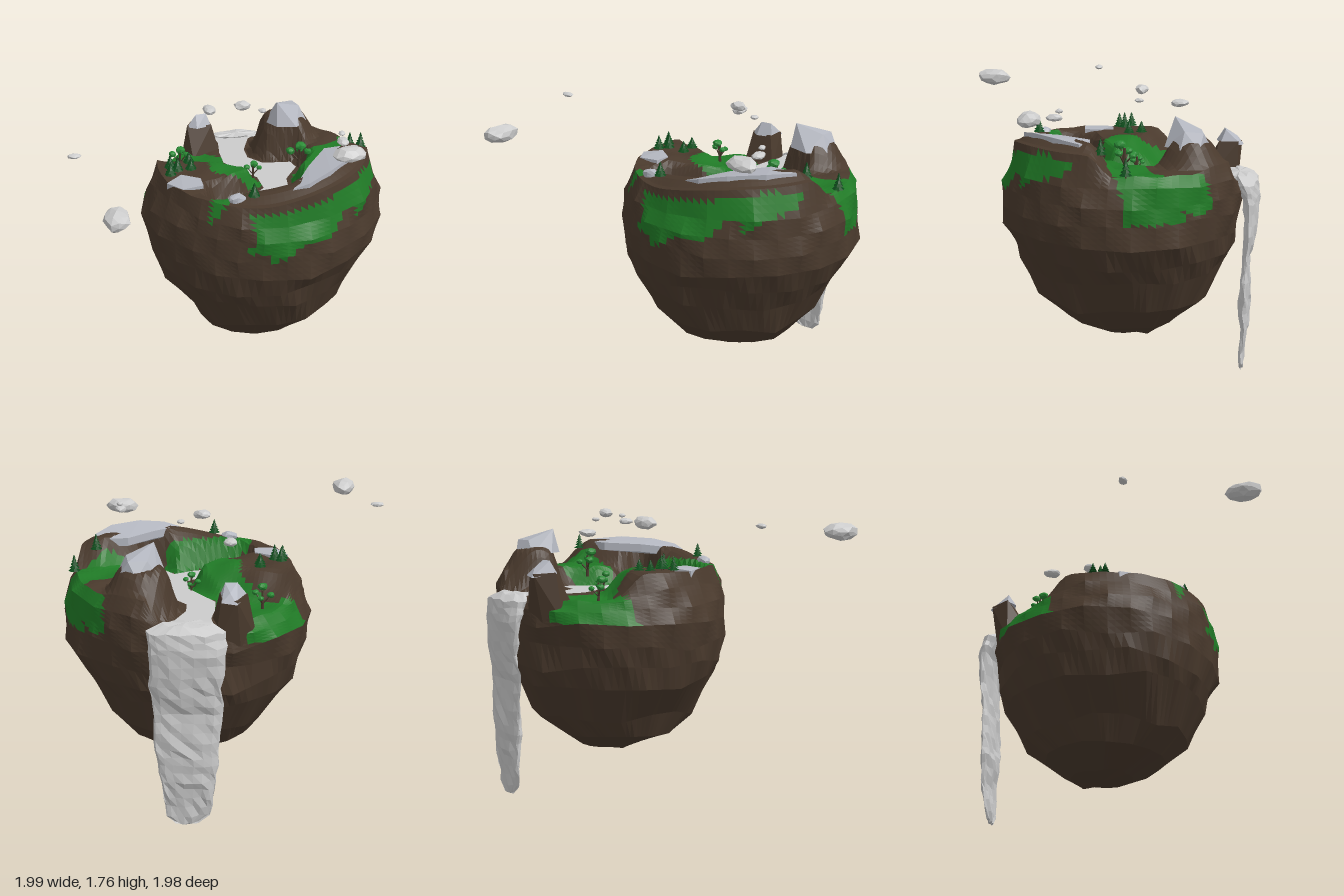
import * as THREE from 'three';
import { ConvexGeometry } from 'three/addons/geometries/ConvexGeometry.js';

const SOIL = 0x4a3a2d, GRASS = 0x207a26, STONE = 0xb4b7c0, GREY = 0xcccccc, PINE = 0x0c4a1a, LEAF = 0x2a8a35;
const { smoothstep, lerp } = THREE.MathUtils;
const mat = (color) => new THREE.MeshStandardMaterial({ color, flatShading: true });
const hash = (a, b, c = 0) => {
  const s = Math.sin(a * 127.1 + b * 311.7 + c * 74.7) * 43758.5453;
  return (s - Math.floor(s)) * 2 - 1;
};

// Outlines in x, z
const RIVER = [[.05, -.88], [.07, -.75], [.05, -.6], [.05, -.45], [.15, -.3], [.22, -.2], [.23, -.05], [.1, .07], [-.08, .15],
  [-.1, .23], [0, .23], [.2, .17], [.32, .1], [.4, .2], [.48, .2], [.43, .1], [.38, .02], [.4, -.15], [.5, -.3],
  [.48, -.38], [.3, -.4], [.22, -.5], [.22, -.62], [.28, -.78], [.38, -.88]];
const MEADOWS = [
  [[-.55, -.35], [-.38, -.68], [-.15, -.8], [-.1, -.73], [0, -.6], [.07, -.55], [.04, -.4], [.17, -.3], [.24, -.12], [.15, -.02],
    [0, 0], [-.1, -.05], [-.1, -.25], [-.3, -.45], [-.45, -.38]],
  [[.4, -.05], [.5, 0], [.68, -.05], [.85, -.15], [1.05, -.3], [1, -.5], [.85, -.85], [.6, -.9], [.8, -.65], [.86, -.5],
    [.78, -.4], [.62, -.33], [.46, -.22]],
  [[-.2, .4], [-.15, .3], [0, .25], [.2, .2], [.3, .13], [.4, .2], [.35, .28], [.1, .32], [0, .36], [-.12, .42]],
];
// Grass hanging over the sides, outlined in x, y and in z, y
const FRONT_GRASS = [[.03, 1.36], [.2, 1.37], [.5, 1.4], [.68, 1.45], [.88, 1.47], [.9, 1.38], [.72, 1.3], [.62, 1.3], [.52, 1.17],
  [.35, 1.17], [.15, 1.06], [.15, 1.12], [0, 1.13], [.06, 1.2]];
const SIDE_GRASS = [
  [[.6, 1.15], [.6, 1.3], [.4, 1.46], [.05, 1.44], [.1, 1.37], [.3, 1.3], [.45, 1.2]],
  [[-.4, 1.38], [-.4, 1.25], [-.65, 1.12], [-.84, 1.2], [-.88, 1.28], [-.7, 1.38]],
];

function inside(poly, u, v) {
  let hit = false;
  poly.forEach(([a, b], i) => {
    const [c, d] = poly[(i + 1) % poly.length];
    if ((b > v) !== (d > v) && u < a + ((v - b) / (d - b)) * (c - a)) hit = !hit;
  });
  return hit;
}

function distanceTo(poly, u, v) {
  if (inside(poly, u, v)) return 0;
  return Math.min(...poly.map(([a, b], i) => {
    const [c, d] = poly[(i + 1) % poly.length];
    const dx = c - a, dy = d - b;
    const t = THREE.MathUtils.clamp(((u - a) * dx + (v - b) * dy) / (dx * dx + dy * dy), 0, 1);
    return Math.hypot(u - a - t * dx, v - b - t * dy);
  }));
}

// Ground height: low back meadow, front ridge, peak and carved river bed
function height(x, z) {
  const low = smoothstep(-z - .3 + .3 * (x + .25), -.08, .15) * (1 - smoothstep(x, .1, .25));
  const bank = lerp(1.395, 1.365, smoothstep(x, -.1, .3));
  let h = lerp(bank, 1.23, low) + .01 * Math.sin(x * 23) * Math.sin(z * 19 + 1);
  const edge = Math.hypot((x - .24) / .66, (z + .165) / .675);
  const crest = Math.max(-.01, Math.min(.38, .66 - .9 * x));
  const ridge = 1.41 + .12 * smoothstep(x, -.25, .75) - .045 * smoothstep(edge, .84, 1) * smoothstep(x, -.3, .2);
  h = lerp(h, ridge, smoothstep(z - crest, -.18, 0));
  h += .15 * (1 - smoothstep(Math.hypot(x - .48, z + .57), .1, .23));
  return lerp(1.235, h, smoothstep(distanceTo(RIVER, x, z), .02, .11));
}

function meshFrom(name, triangles, color) {
  const g = new THREE.BufferGeometry();
  g.setAttribute('position', new THREE.Float32BufferAttribute(triangles.flatMap((p) => [p.x, p.y, p.z]), 3));
  g.computeVertexNormals();
  const m = new THREE.Mesh(g, mat(color));
  m.name = name;
  return m;
}

// Triangles between successive rings of points
function stitch(rows) {
  const out = [], n = rows[0].length;
  for (let k = 0; k + 1 < rows.length; k++) for (let i = 0; i < n; i++) {
    const j = (i + 1) % n, a = rows[k][i], b = rows[k][j], c = rows[k + 1][i], d = rows[k + 1][j];
    out.push([a, b, c], [b, d, c]);
  }
  return out;
}

function island() {
  const N = 96, RINGS = 24, SPAN = 6, rows = [];
  const angle = (i) => (i / N) * Math.PI * 2;
  for (let k = 0; k <= RINGS; k++) rows.push(Array.from({ length: N }, (_, i) => {
    const r = k / RINGS, x = .24 + .66 * r * Math.cos(angle(i)), z = -.165 + .675 * r * Math.sin(angle(i));
    return new THREE.Vector3(x, height(x, z), z);
  }));
  const rim = rows[RINGS];
  // y, x radius, z radius, x centre, z centre
  const sides = [[1.3, .715, .715, .25, -.155], [1.2, .745, .735, .245, -.15], [1.09, .77, .74, .235, -.15],
    [.95, .75, .725, .24, -.145], [.82, .695, .685, .215, -.15], [.7, .63, .64, .2, -.155], [.48, .5, .525, .23, -.145],
    [.35, .39, .385, .2, -.15], [.25, .18, .2, .22, -.18], [.225, 0, 0, .22, -.18]];
  let last = rim;
  sides.forEach(([y, rx, rz, cx, cz], k) => {
    const rough = k > 1 && k < 7 ? .035 : .015;
    const corner = (i) => {
      const s = 1 + .025 * hash(i, k, 3), t = angle(i);
      return new THREE.Vector3(cx + rx * s * Math.cos(t), Math.min(y + (rx ? rough * hash(i, k, 9) : 0), rim[i].y - .03 * (k + 1)), cz + rz * s * Math.sin(t));
    };
    // Broad facets: staggered corners joined by straight runs
    const shift = (k % 2) * (SPAN / 2);
    const ring = Array.from({ length: N }, (_, i) => {
      const off = (i - shift + N) % SPAN, from = (i - off + N) % N;
      return corner(from).lerp(corner((from + SPAN) % N), off / SPAN);
    });
    const steps = k < 4 ? 4 : 1;
    for (let s = 1; s <= steps; s++) rows.push(ring.map((p, i) => last[i].clone().lerp(p, s / steps)));
    last = ring;
  });
  const parts = { soil: [], grass: [] };
  stitch(rows).forEach((t, index) => {
    const [x, y, z] = ['x', 'y', 'z'].map((c) => (t[0][c] + t[1][c] + t[2][c]) / 3);
    const onSide = index >= RINGS * N * 2;
    const green = (y > 1.1 && MEADOWS.some((p) => inside(p, x, z)))
      || (onSide && z > .2 && inside(FRONT_GRASS, x, y))
      || (onSide && x > .7 && SIDE_GRASS.some((p) => inside(p, z, y)));
    parts[green ? 'grass' : 'soil'].push(...t);
  });
  return [meshFrom('islandSoil', parts.soil, SOIL), meshFrom('islandGrass', parts.grass, GRASS)];
}

function river() {
  const shape = new THREE.Shape(RIVER.map(([x, z]) => new THREE.Vector2(x, -z)));
  const m = new THREE.Mesh(new THREE.ShapeGeometry(shape).rotateX(-Math.PI / 2).translate(0, 1.25, 0), mat(GREY));
  m.name = 'river';
  return m;
}

function waterfall() {
  // y, half width, z centre, half depth
  const keys = [[1.265, 0, -.86, 0], [1.26, .14, -.86, .06], [1.22, .225, -.9, .075], [1.1, .22, -.935, .052], [.9, .21, -.935, .033],
    [.72, .2, -.917, .02], [.55, .195, -.912, .03], [.4, .18, -.908, .038], [.24, .155, -.915, .02], [.06, .13, -.9, .013], [.01, .07, -.9, .008], [0, 0, -.9, 0]];
  const rows = [];
  keys.forEach((key, k) => {
    const next = keys[k + 1];
    const steps = next && k > 1 && k < 9 ? 3 : 1;
    for (let s = 0; s < steps; s++) {
      const [y, w, cz, d] = key.map((v, i) => lerp(v, next ? next[i] : v, s / steps));
      const sway = .01 * hash(rows.length, 5);
      rows.push(Array.from({ length: 18 }, (_, i) => {
        const t = (i / 18) * Math.PI * 2, n = w ? hash(i * 1.73, rows.length * 3.19) : 0;
        return new THREE.Vector3(.21 + sway + w * Math.cos(t) * (1 + .03 * n), Math.max(0, y + .008 * n), cz + d * Math.sin(t) + .008 * n);
      }));
    }
  });
  return meshFrom('waterfall', stitch(rows).flat(), GREY);
}

function hull(name, color, points) {
  const m = new THREE.Mesh(new ConvexGeometry(points.map((p) => new THREE.Vector3(...p))), mat(color));
  m.name = name;
  return m;
}

// Flat stone bedded in the ground, from its top corners
function slab(points, depth) {
  return hull('stoneSlab', STONE, points.flatMap(([x, y, z]) => [[x, y, z], [x, y - depth, z]]));
}

// Faceted lump with uneven corners
function lump(name, color, [x, y, z], [sx, sy, sz]) {
  const g = new THREE.IcosahedronGeometry(1, 1), p = g.attributes.position, v = new THREE.Vector3();
  for (let i = 0; i < p.count; i++) {
    v.fromBufferAttribute(p, i);
    const key = v.toArray().map((c) => Math.round(c * 100));
    v.multiplyScalar(1 + .13 * hash(key[0] + x * 10, key[1], key[2]));
    p.setXYZ(i, v.x * sx, v.y * sy, v.z * sz);
  }
  g.computeVertexNormals();
  const m = new THREE.Mesh(g, mat(color));
  m.position.set(x, y, z);
  m.name = name;
  return m;
}

function stem(r, h) {
  const m = new THREE.Mesh(new THREE.CylinderGeometry(r * .7, r, h, 6).translate(0, h / 2, 0), mat(SOIL));
  m.name = 'trunk';
  return m;
}

function pine(x, z, h) {
  const g = new THREE.Group();
  g.name = 'pineTree';
  g.add(stem(.005, h * .9));
  for (let i = 0; i < 5; i++) {
    const tier = new THREE.Mesh(new THREE.ConeGeometry(.037 - i * .007, h * .22, 8), mat(PINE));
    tier.position.y = h * (.25 + i * .16);
    tier.rotation.y = i;
    tier.name = 'needles';
    g.add(tier);
  }
  g.position.set(x, height(x, z) - .005, z);
  return g;
}

function leafyTree(x, z, s, lift) {
  const g = new THREE.Group();
  g.name = 'leafyTree';
  g.add(stem(.008, .1));
  [[0, .115, .02, .025], [.035, .085, .02, .018], [-.04, .08, -.01, .02], [.01, .07, -.035, .016]].forEach(([a, b, c, r]) => {
    const branch = stem(.004, Math.hypot(a, b - .03, c));
    branch.position.y = .03;
    branch.quaternion.setFromUnitVectors(new THREE.Vector3(0, 1, 0), new THREE.Vector3(a, b - .03, c).normalize());
    g.add(branch, lump('foliage', LEAF, [a, b, c], [r, r * .75, r]));
  });
  g.scale.setScalar(s);
  g.position.set(x, height(x, z) + lift, z);
  return g;
}

export function createModel() {
  const model = new THREE.Group();
  model.name = 'floatingIsland';
  model.add(...island(), river(), waterfall());

  // Stone slabs on the ridge and the left bank
  model.add(slab([[.3, 1.475, .43], [.45, 1.505, .2], [.6, 1.515, 0], [.75, 1.515, -.02], [.81, 1.53, .03], [.72, 1.545, .2],
    [.55, 1.535, .35], [.4, 1.505, .43]], .05));
  model.add(slab([[-.4, 1.395, .05], [-.3, 1.41, -.02], [-.19, 1.41, .05], [-.19, 1.41, .15], [-.32, 1.405, .17]], .04));

  // Stone peak, and the crag beside the waterfall
  model.add(hull('peakCap', STONE, [[.35, 1.48, -.52], [.4, 1.48, -.44], [.53, 1.47, -.43], [.62, 1.47, -.53], [.61, 1.47, -.64],
    [.5, 1.47, -.7], [.38, 1.47, -.64], [.41, 1.63, -.48], [.57, 1.57, -.55], [.55, 1.56, -.66], [.44, 1.56, -.64]]));
  model.add(hull('cragBase', SOIL, [[-.2, 1.1, -.72], [-.1, 1.1, -.81], [.05, 1.1, -.84], [.07, 1.2, -.68], [-.12, 1.2, -.62],
    [-.14, 1.4, -.74], [-.08, 1.39, -.86], [.01, 1.4, -.84], [.02, 1.4, -.72]]));
  model.add(hull('cragCap', STONE, [[-.14, 1.39, -.74], [-.08, 1.37, -.87], [.01, 1.38, -.86], [.02, 1.39, -.73], [-.08, 1.39, -.7],
    [-.08, 1.47, -.75], [-.01, 1.47, -.76], [-.04, 1.43, -.83]]));

  // Floating rocks: centre, half sizes
  [[[-.8, 1.63, .88], [.075, .055, .11]], [[.66, 1.635, .35], [.1, .047, .07]], [[-.96, 1.69, .17], [.04, .015, .027]],
    [[.13, 1.735, -.25], [.052, .027, .04]], [[.26, 1.69, -.25], [.025, .013, .025]], [[-.04, 1.625, -.47], [.042, .024, .055]],
    [[.66, 1.65, .2], [.035, .022, .05]], [[.66, 1.69, .17], [.02, .014, .023]]].forEach(([p, s]) => model.add(lump('floatingRock', GREY, p, s)));
  model.add(lump('groundRock', STONE, [-.03, height(-.03, .38) + .005, .38], [.055, .035, .035]));

  [[-.35, -.13, .1], [-.31, -.09, .11], [-.36, -.05, .1], [-.22, -.13, .08], [-.22, -.21, .08], [.91, -.25, .12], [.79, -.09, .11],
    [.07, .4, .1]].forEach((p) => model.add(pine(...p)));
  [[-.23, -.5, 1.2, -.005], [.49, -.19, 1.4, .03], [.2, -.23, 1, -.005]].forEach((p) => model.add(leafyTree(...p)));
  return model;
}
